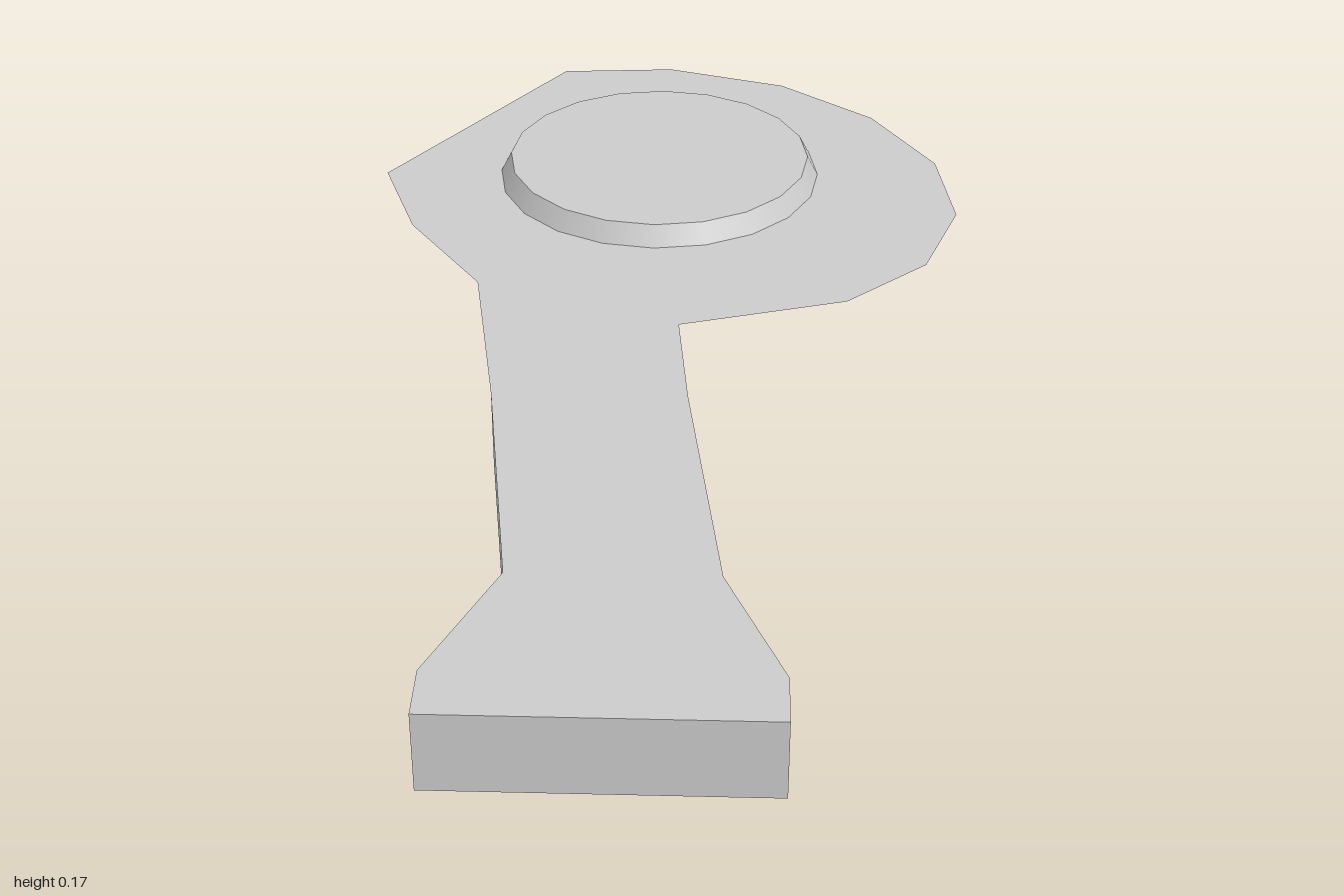
import * as THREE from 'three';

const material = new THREE.MeshStandardMaterial({ color: 0xcccccc, side: THREE.DoubleSide });
const flatMaterial = new THREE.MeshStandardMaterial({ color: 0xcccccc, side: THREE.DoubleSide, flatShading: true });
const PLATE_Y = 0.13;

// Outlines as [x, z]
const head = [
  [-0.26, 0.22], [-0.315, -0.13], [-0.45, -0.33], [-0.52, -0.53], [-0.22, -0.985],
  [-0.01, -1], [0.21, -0.93], [0.38, -0.79], [0.49, -0.6], [0.515, -0.4],
  [0.45, -0.215], [0.31, -0.085], [0.03, 0],
];
const handle = [
  [0.05, 0.22], [0.11, 0.69], [0.2, 0.91], [0.2, 1],
  [-0.295, 1], [-0.295, 0.91], [-0.2, 0.69], [-0.26, 0.22],
];

// Flat horizontal sheet from an [x, z] outline, facing up
function sheet(points, y) {
  const shape = new THREE.Shape(points.map(([x, z]) => new THREE.Vector2(x, -z)));
  return new THREE.ShapeGeometry(shape).rotateX(-Math.PI / 2).translate(0, y, 0);
}

// Vertical wall following an open [x, z] path, facing outward
function wall(path, y0, y1) {
  const pos = [];
  for (let i = 0; i < path.length - 1; i++) {
    const [ax, az] = path[i], [bx, bz] = path[i + 1];
    pos.push(ax, y0, az, ax, y1, az, bx, y1, bz);
    pos.push(ax, y0, az, bx, y1, bz, bx, y0, bz);
  }
  const g = new THREE.BufferGeometry();
  g.setAttribute('position', new THREE.Float32BufferAttribute(pos, 3));
  g.computeVertexNormals();
  return g;
}

export function createModel() {
  const group = new THREE.Group();
  const add = (name, geometry, mat = material) => {
    const mesh = new THREE.Mesh(geometry, mat);
    mesh.name = name;
    group.add(mesh);
    return mesh;
  };

  // Thin plate: rounded head and flared handle in one sheet
  add('plate', sheet([...head, ...handle.slice(0, -1)], PLATE_Y));

  // Skirt below the handle, open toward the head
  add('handleSkirt', wall(handle, 0, PLATE_Y), flatMaterial);

  // Strip closing the underside of the flared end
  add('endFoot', sheet(handle.slice(2, 6), 0));

  // Raised tapered disc through the head, open below
  const disc = new THREE.Group();
  disc.name = 'raisedDisc';
  disc.position.set(-0.02, 0, -0.55);
  const rim = add('discRim', new THREE.CylinderGeometry(0.272, 0.306, 0.065, 20, 1, true));
  rim.position.y = 0.1335;
  const cap = add('discTop', new THREE.CircleGeometry(0.272, 20).rotateX(-Math.PI / 2));
  cap.position.y = 0.166;
  disc.add(rim, cap);
  group.add(disc);

  return group;
}
